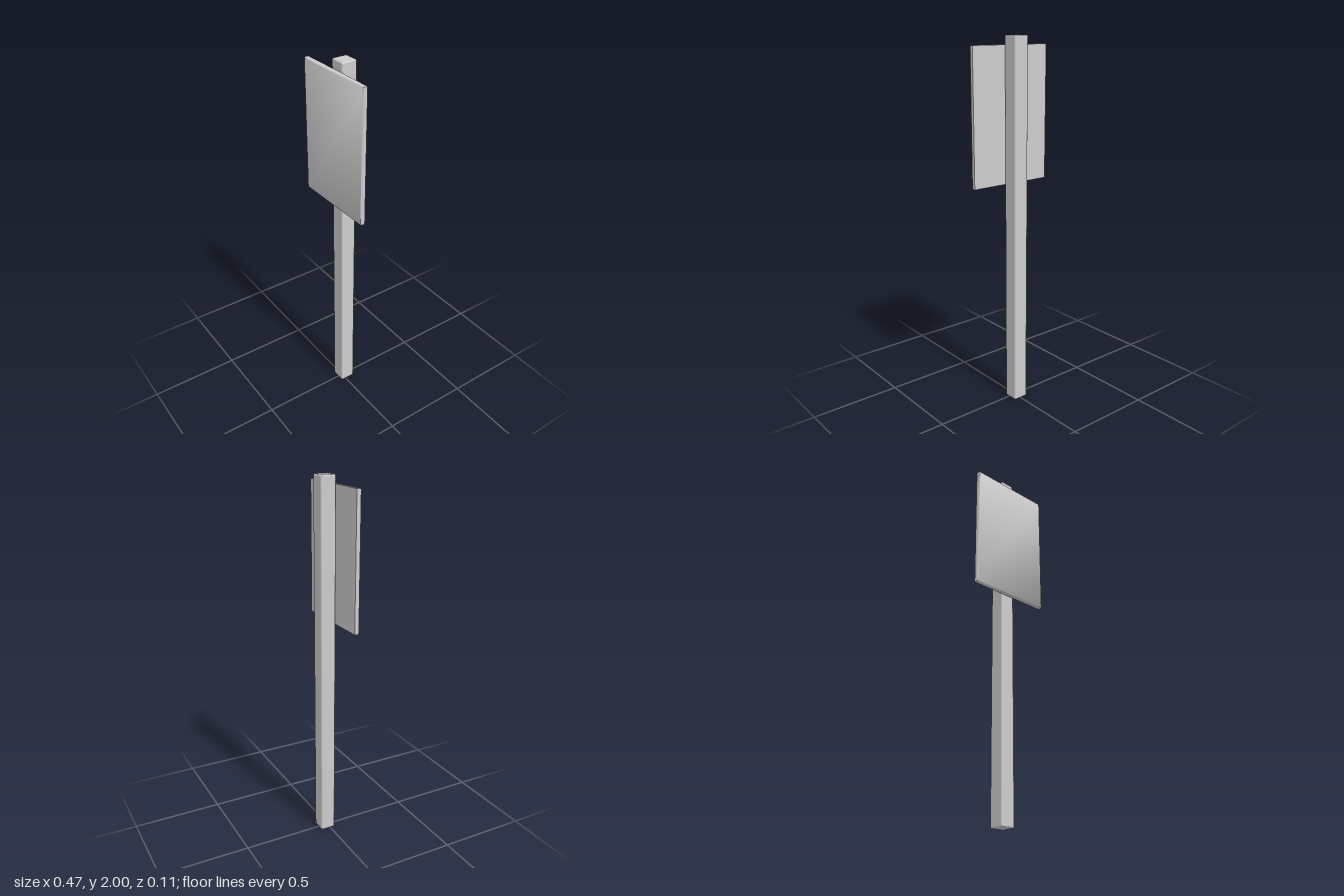
import * as THREE from 'three';
import { toCreasedNormals } from 'three/addons/utils/BufferGeometryUtils.js';
import { RoundedBoxGeometry } from 'three/addons/geometries/RoundedBoxGeometry.js';

// Plate whose front rim is pulled in, shaded smoothly from the sides into the face
function bevelledPlate(width, height, depth, inset, bevelDepth) {
  const geometry = new THREE.BoxGeometry(width, height, depth, 1, 1, 2);
  const p = geometry.attributes.position;
  for (let i = 0; i < p.count; i++) {
    const z = p.getZ(i);
    if (Math.abs(z) < 1e-6) {
      p.setZ(i, depth / 2 - bevelDepth);
    } else if (z > 0) {
      p.setX(i, p.getX(i) - Math.sign(p.getX(i)) * inset);
      p.setY(i, p.getY(i) - Math.sign(p.getY(i)) * inset);
    }
  }
  return toCreasedNormals(geometry, THREE.MathUtils.degToRad(80));
}

export function createModel() {
  const model = new THREE.Group();
  model.name = 'signPost';
  const paleGrey = new THREE.MeshStandardMaterial({ color: 0xcccccc });
  paleGrey.name = 'paleGrey';

  // Square post with softened edges
  const post = new THREE.Mesh(new RoundedBoxGeometry(0.084, 2, 0.084, 3, 0.007), paleGrey);
  post.name = 'post';
  post.position.set(0, 1, -0.014);

  // Blank board on the front of the post
  const board = new THREE.Mesh(bevelledPlate(0.475, 0.713, 0.025, 0.003, 0.009), paleGrey);
  board.name = 'signBoard';
  board.position.set(0, 1.597, 0.0425);

  model.add(post, board);
  return model;
}
